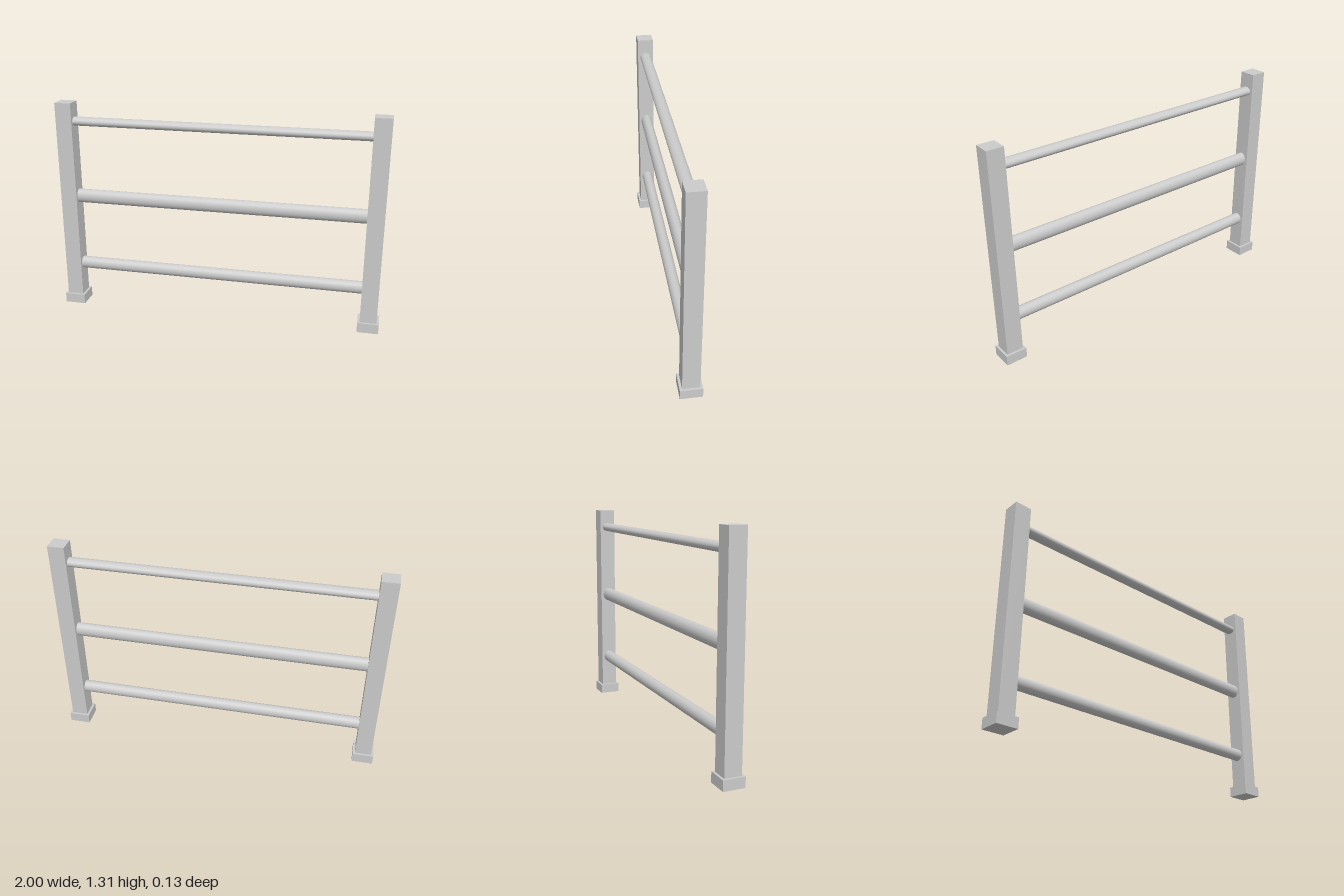
import * as THREE from 'three';

const material = new THREE.MeshStandardMaterial({ color: 0xcccccc });

function addPart(parent, name, geometry, x, y, z) {
  const mesh = new THREE.Mesh(geometry, material);
  mesh.name = name;
  mesh.position.set(x, y, z);
  parent.add(mesh);
  return mesh;
}

export function createModel() {
  const model = new THREE.Group();
  model.name = 'railing';

  const postX = 0.936, postWidth = 0.1, height = 1.31;
  const footWidth = 0.128, footHeight = 0.061;

  // Square posts standing on slightly wider feet
  for (const [side, sign] of [['left', 1], ['right', -1]]) {
    const support = new THREE.Group();
    support.name = side + 'Support';
    const postHeight = height - footHeight;
    addPart(support, side + 'Post', new THREE.BoxGeometry(postWidth, postHeight, postWidth),
      sign * postX, footHeight + postHeight / 2, 0);
    addPart(support, side + 'Foot', new THREE.BoxGeometry(footWidth, footHeight, footWidth),
      sign * postX, footHeight / 2, 0);
    model.add(support);
  }

  // Oval rails: equal depth, different heights, ends meeting the inner post faces
  const railLength = 2 * (postX - postWidth / 2);
  const railDepth = 0.035;
  const rails = [
    ['topRail', 1.195, 0.027],
    ['middleRail', 0.722, 0.043],
    ['bottomRail', 0.269, 0.038],
  ];
  for (const [name, y, halfHeight] of rails) {
    const geometry = new THREE.CylinderGeometry(1, 1, railLength, 48);
    geometry.rotateZ(Math.PI / 2);
    geometry.scale(1, halfHeight, railDepth);
    addPart(model, name, geometry, 0, y, 0);
  }

  return model;
}
